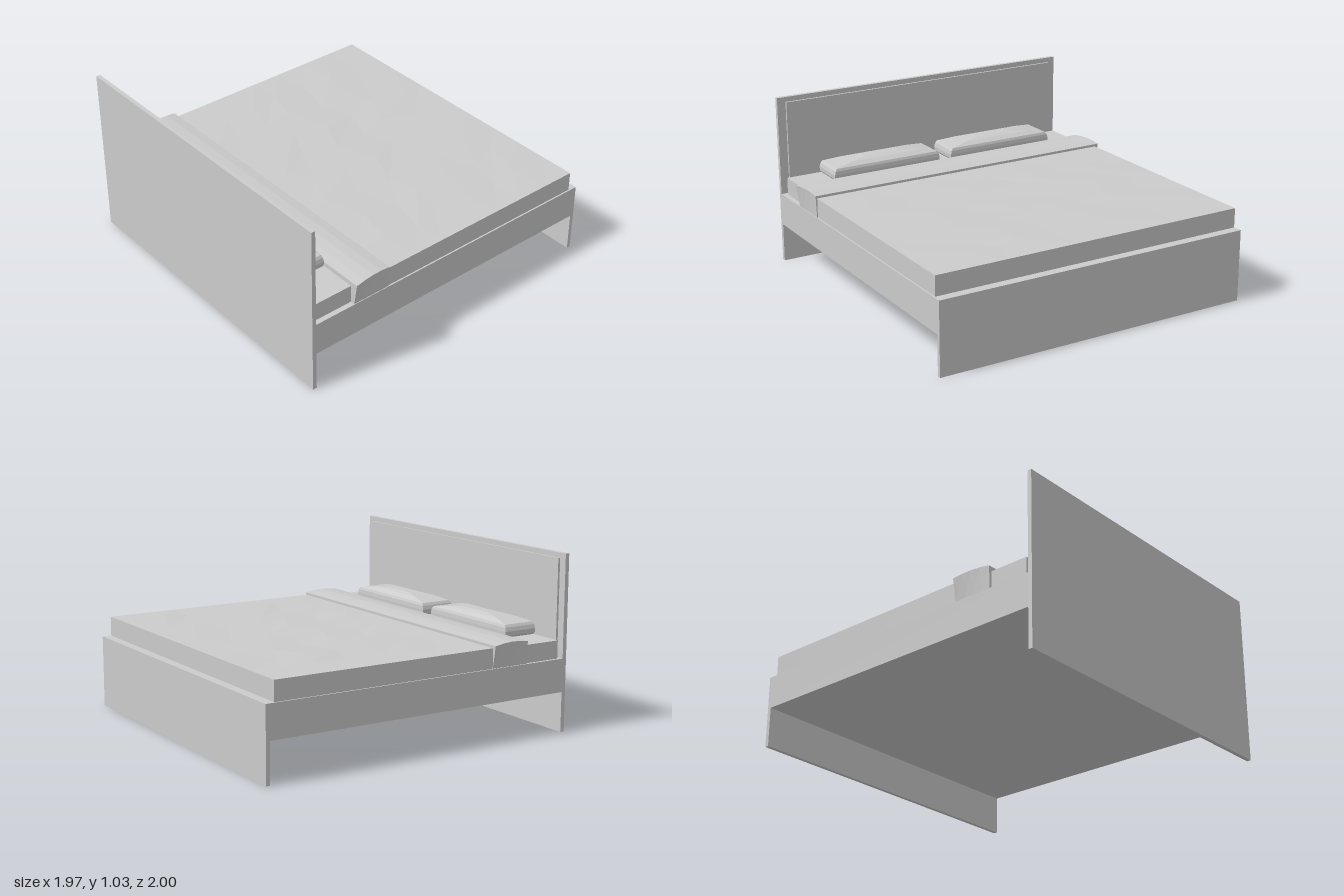
import * as THREE from 'three';

const material = new THREE.MeshStandardMaterial({ color: 0xcccccc, flatShading: true, side: THREE.DoubleSide });

export function createModel() {
  const bed = new THREE.Group();
  bed.name = 'bed';

  const add = (name, geometry) => {
    geometry.computeVertexNormals();
    const mesh = new THREE.Mesh(geometry, material);
    mesh.name = name;
    bed.add(mesh);
    return mesh;
  };

  // Box given by its limits along each axis
  const box = ([x0, x1], [y0, y1], [z0, z1], segX = 1, segZ = 1) =>
    new THREE.BoxGeometry(x1 - x0, y1 - y0, z1 - z0, segX, 1, segZ)
      .translate((x0 + x1) / 2, (y0 + y1) / 2, (z0 + z1) / 2);

  // Moves every vertex of a geometry by a rule
  const reshape = (geometry, rule) => {
    const pos = geometry.attributes.position;
    const v = new THREE.Vector3();
    for (let i = 0; i < pos.count; i++) {
      rule(v.fromBufferAttribute(pos, i));
      pos.setXYZ(i, v.x, v.y, v.z);
    }
    return geometry;
  };

  // Wooden frame
  const width = [-0.982, 0.978];
  add('headboard', box([-0.985, -0.96], [0, 1.03], width));
  add('headboardPanel', box([-0.96, -0.947], [0.47, 1.0], [-0.935, 0.925]));
  add('footboard', box([0.96, 0.983], [0, 0.43], width));
  add('bedBase', box([-0.96, 0.96], [0.235, 0.43], width));

  // Mattress
  add('mattress', box([-0.935, 0.92], [0.43, 0.535], [-0.965, 0.947]));

  // Duvet with shallow creases on its top
  add('duvet', reshape(box([-0.48, 0.93], [0.431, 0.547], [-0.977, 0.97], 7, 9), (v) => {
    const inside = v.x > -0.47 && v.x < 0.92 && Math.abs(v.z) < 0.95;
    if (v.y > 0.5 && inside) {
      v.y += 0.004 * Math.sin(v.x * 9 + v.z * 5) * Math.cos(v.z * 7 - v.x * 3);
      v.x += 0.05 * Math.sin(v.z * 13);
      v.z += 0.05 * Math.sin(v.x * 11 + v.z * 4);
    }
  }));

  // Folded-back band, flaring at the top of each side and crowned along the middle
  add('duvetFold', reshape(box([-0.7, -0.462], [0.431, 0.562], [-0.978, 0.975], 4, 6), (v) => {
    if (v.y < 0.5) return;
    const t = (v.x + 0.7) / 0.238;
    v.y += 0.011 * Math.sin(Math.PI * t);
    if (v.z < -0.97) v.z = -0.985 - 0.015 * t;
    if (v.z > 0.97) v.z = 0.995 - 0.015 * t;
  }));

  // Pillow from stacked rectangular loops: [y, half depth, half length]
  const loops = [
    [0.54, 0.1, 0.35], [0.55, 0.107, 0.357], [0.575, 0.108, 0.358], [0.598, 0.106, 0.352],
    [0.613, 0.1, 0.342], [0.63, 0.068, 0.225], [0.639, 0.035, 0.115],
  ];
  const corners = [[-1, 1], [1, 1], [1, -1], [-1, -1]];
  const pillowGeometry = () => {
    const points = loops.flatMap(([y, hx, hz]) => corners.flatMap(([sx, sz]) => [sx * hx, y, sz * hz]));
    const index = [0, 2, 1, 0, 3, 2];
    for (let i = 0; i < loops.length - 1; i++) {
      for (let j = 0; j < 4; j++) {
        const a = i * 4 + j, b = i * 4 + (j + 1) % 4;
        index.push(a, b, b + 4, a, b + 4, a + 4);
      }
    }
    const top = (loops.length - 1) * 4;
    index.push(top, top + 1, top + 2, top, top + 2, top + 3);
    const geometry = new THREE.BufferGeometry();
    geometry.setAttribute('position', new THREE.Float32BufferAttribute(points, 3));
    geometry.setIndex(index);
    return geometry;
  };
  for (const [name, z] of [['leftPillow', 0.378], ['rightPillow', -0.419]]) {
    add(name, pillowGeometry()).position.set(-0.817, 0, z);
  }

  return bed;
}
